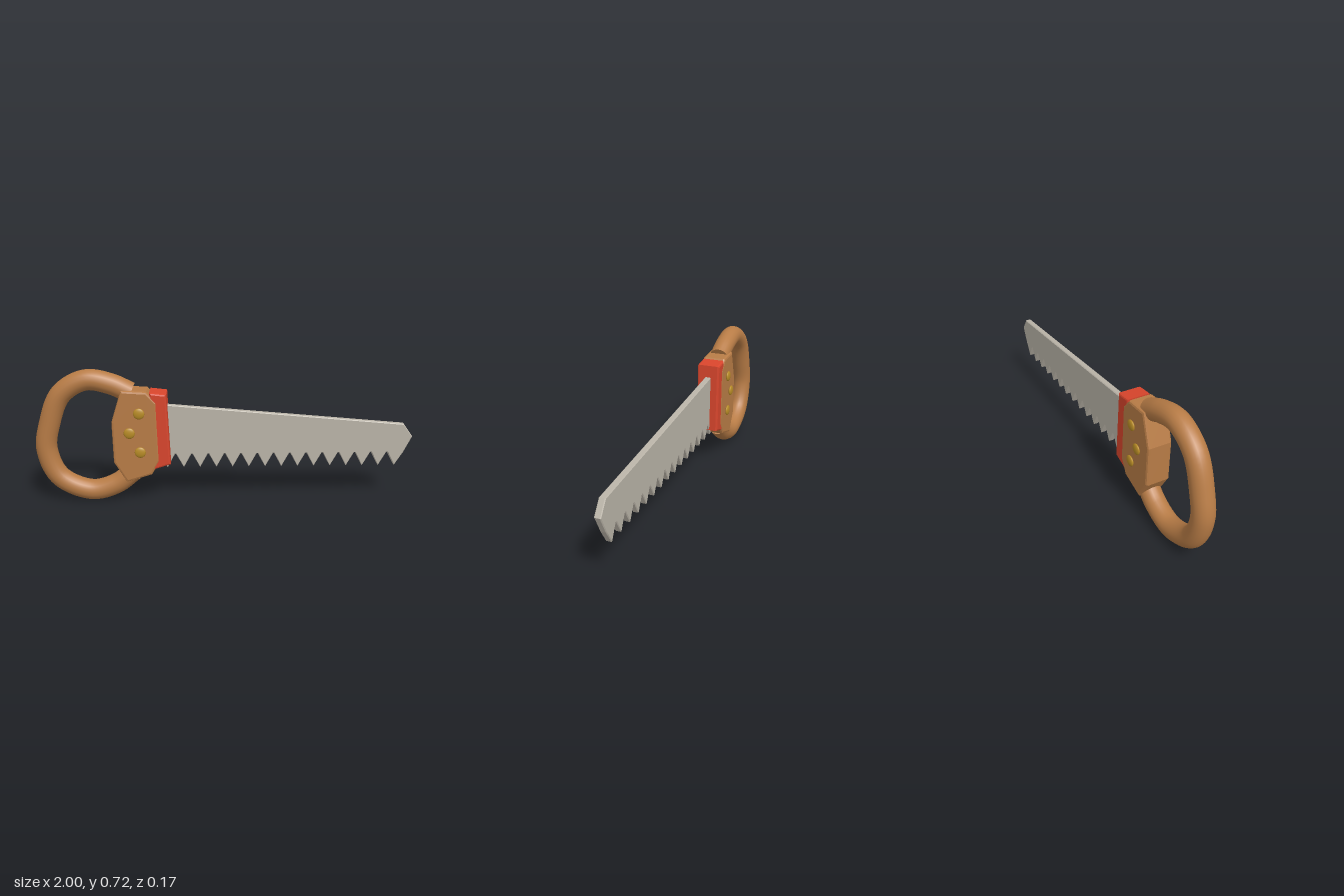
import * as THREE from 'three';

const mat = (name, color) => Object.assign(new THREE.MeshStandardMaterial({ color }), { name });

export function createModel() {
  const wood = mat('wood', 0xb87c46);
  const red = mat('red', 0xd8452c);
  const steel = mat('steel', 0xbab4a8);
  const brass = mat('brass', 0xb88c26);

  const model = new THREE.Group();
  model.name = 'handSaw';
  const add = (name, geometry, material) => {
    const mesh = new THREE.Mesh(geometry, material);
    mesh.name = name;
    model.add(mesh);
    return mesh;
  };

  // Bevelled slab centred on z = 0; the outline gives its outer edge
  const slab = (points, halfDepth, bevel, segments) => {
    const shape = new THREE.Shape(points.map(([x, y]) => new THREE.Vector2(x, y)));
    const depth = 2 * (halfDepth - bevel);
    return new THREE.ExtrudeGeometry(shape, {
      depth, bevelEnabled: true, bevelThickness: bevel, bevelSize: bevel,
      bevelOffset: -bevel, bevelSegments: segments,
    }).translate(0, 0, -depth / 2);
  };

  // Blade with a row of teeth along its lower edge
  const outline = [[-0.385, 0.538], [0.95, 0.415], [1.0, 0.345], [0.957, 0.255]];
  const pitch = 0.0872, lastTip = 0.913;
  for (let i = 0; i < 15; i++) {
    const tip = lastTip - i * pitch;
    outline.push([tip, 0.183], [tip - pitch / 2 + 0.003, 0.258], [tip - pitch / 2 - 0.003, 0.258]);
  }
  outline.push([lastTip - 15 * pitch - 0.0, 0.19], [-0.385, 0.25]);
  add('blade', slab(outline, 0.0165, 0.004, 1), steel);

  // Red collar gripping the blade
  add('collar', slab([[-0.39, 0.607], [-0.303, 0.597], [-0.288, 0.216], [-0.38, 0.187]],
    0.063, 0.01, 2), red);

  // Wooden cheek block
  add('handleBlock', slab([
    [-0.535, 0.62], [-0.405, 0.612], [-0.352, 0.555], [-0.344, 0.235],
    [-0.388, 0.16], [-0.522, 0.118], [-0.587, 0.23], [-0.59, 0.45],
  ], 0.065, 0.012, 2), wood);

  // Bent grip with flat ends
  const path = new THREE.CatmullRomCurve3([
    [-0.49, 0.595], [-0.59, 0.642], [-0.72, 0.664], [-0.85, 0.59], [-0.92, 0.43],
    [-0.944, 0.29], [-0.885, 0.135], [-0.72, 0.057], [-0.585, 0.09], [-0.49, 0.162],
  ].map(([x, y]) => new THREE.Vector3(x, y, 0)));
  const radius = 0.055;
  add('grip', new THREE.TubeGeometry(path, 64, radius, 20), wood);
  for (const t of [0, 1]) {
    const cap = add('gripEnd', new THREE.CircleGeometry(radius, 20), wood);
    cap.position.copy(path.getPointAt(t));
    cap.lookAt(cap.position.clone().addScaledVector(path.getTangentAt(t), t ? 1 : -1));
  }

  // Domed rivets on both faces
  const dome = new THREE.SphereGeometry(0.029, 20, 14).scale(1, 1, 0.34);
  for (const side of [-1, 1]) {
    for (const [x, y] of [[-0.445, 0.5], [-0.498, 0.395], [-0.445, 0.29]]) {
      add('rivet', dome, brass).position.set(x, y, side * 0.073);
    }
  }
  return model;
}
